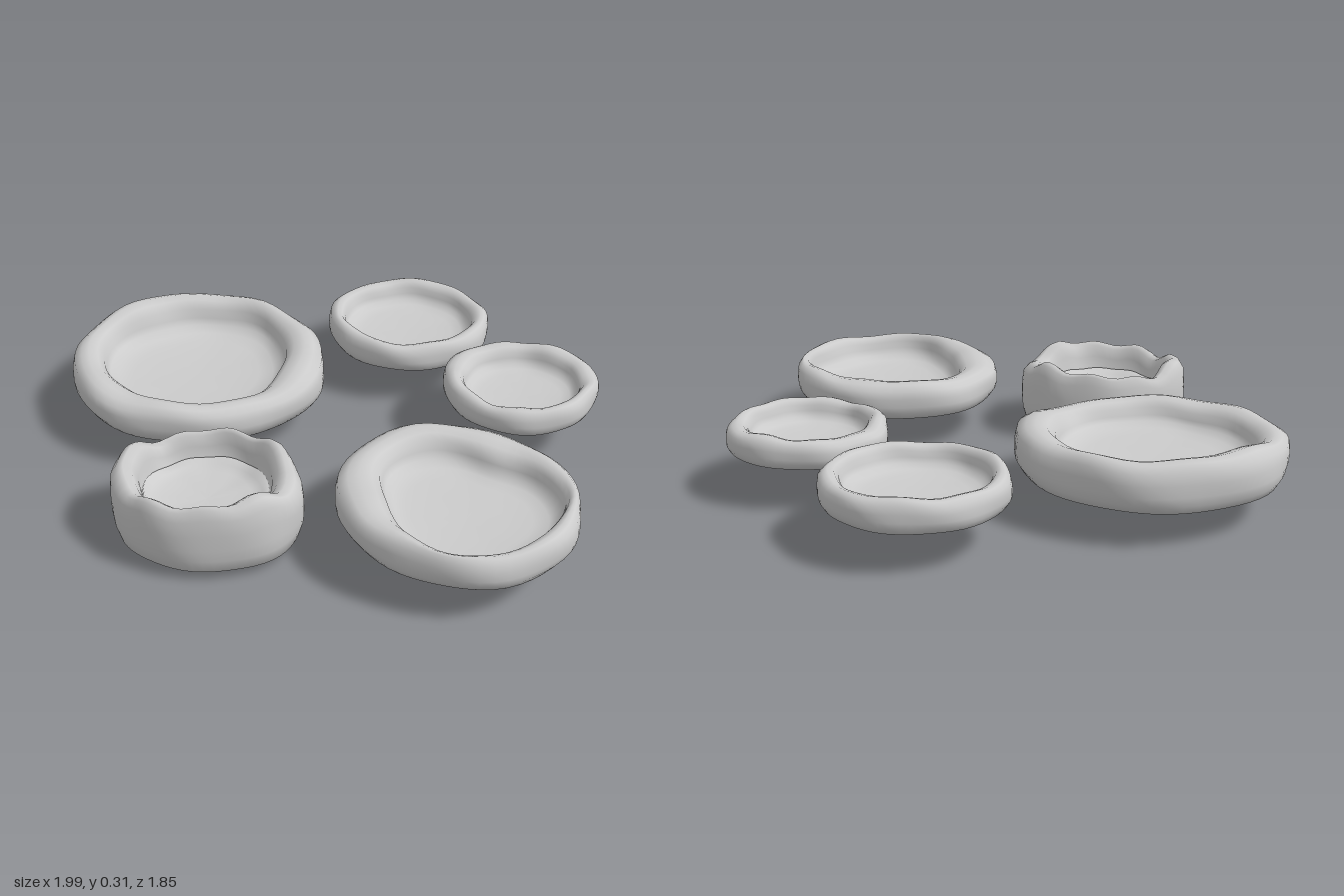
import * as THREE from 'three';

const SEG = 56;

// Cross-section from underside, up the wall and over the rim:
// [blend from outer (0) to inner (1) outline, scale about centre, height from base 0 to rim 1]
const WALL = [
  [0, 0, 0], [0, 0.5, 0.015], [0, 0.84, 0.06], [0, 0.95, 0.13], [0, 0.99, 0.3], [0, 1, 0.45], [0, 1, 0.65],
  [0, 0.985, 0.85], [0.2, 0.98, 0.96], [0.5, 1, 1], [0.78, 1, 0.95], [0.97, 1, 0.8], [1, 0.99, 0.62],
];
// Dished inside: [scale of the inner outline, height from floor 0 to rim 1]
const DISH = [[0.95, 0.28], [0.86, 0.13], [0.7, 0.06], [0.4, 0.015], [0, 0]];

// Rounded outline: an ellipse pulled out by lobes [amount, count, angle in degrees]
function outlinePoint({ c, r, lobes = [] }, a, scale) {
  let k = scale;
  for (const [amount, count, angle] of lobes) k += scale * amount * Math.cos(count * (a - THREE.MathUtils.degToRad(angle)));
  return new THREE.Vector3(c[0] + r[0] * k * Math.cos(a), 0, c[1] - r[1] * k * Math.sin(a));
}

function bowl({ name, outer, inner, base, top, floor, wave, slope = 0, seed }) {
  const positions = [], indices = [];
  const rows = [
    ...WALL.map(([blend, scale, h]) => ({ blend, scale, y: base + h * (top - base), lift: Math.max(0, h - 0.3) / 0.7 })),
    ...DISH.map(([scale, h]) => ({ blend: 1, scale, y: floor + h * (top - floor), lift: h })),
  ];
  rows.forEach(({ blend, scale, y, lift }, row) => {
    for (let j = 0; j < SEG; j++) {
      const a = (j / SEG) * Math.PI * 2;
      // Slight dents in the wall
      const dent = scale * (1 + 0.009 * Math.sin(7 * a + row * 0.5 + seed) + 0.006 * Math.sin(4 * a + seed * 3));
      const p = outlinePoint(outer, a, dent).lerp(outlinePoint(inner, a, dent), blend);
      // Hand-pinched rim: uneven height plus a slope rising to the back
      const ripple = Math.sin(3 * a + seed) * 0.5 + Math.sin(5 * a + seed * 2.3) * 0.35 + Math.sin(9 * a + seed * 4.1) * 0.3;
      positions.push(p.x, y + lift * (wave * ripple + slope * Math.sin(a)), p.z);

      if (row < rows.length - 1) {
        const k = (j + 1) % SEG, r = row * SEG, s = r + SEG;
        indices.push(r + j, r + k, s + j, r + k, s + k, s + j);
      }
    }
  });
  const geometry = new THREE.BufferGeometry();
  geometry.setAttribute('position', new THREE.Float32BufferAttribute(positions, 3));
  geometry.setIndex(indices);
  geometry.computeVertexNormals();
  const mesh = new THREE.Mesh(geometry, new THREE.MeshStandardMaterial({ color: 0xcccccc }));
  mesh.name = name;
  return mesh;
}

const BOWLS = [
  {
    name: 'largeBowl', base: 0.105, top: 0.283, floor: 0.16, wave: 0.012, slope: 0.022, seed: 1,
    outer: { c: [-0.515, -0.195], r: [0.48, 0.435], lobes: [[0.012, 3, 110]] },
    inner: { c: [-0.52, -0.2], r: [0.345, 0.33], lobes: [[0.03, 3, 180]] },
  },
  {
    name: 'frontBowl', base: 0.125, top: 0.275, floor: 0.16, wave: 0.008, seed: 2,
    outer: { c: [0.515, 0.54], r: [0.405, 0.385], lobes: [[0.04, 2, -45]] },
    inner: { c: [0.55, 0.57], r: [0.295, 0.295], lobes: [[0.07, 2, -45], [0.08, 3, 135]] },
  },
  {
    name: 'backBowl', base: 0.137, top: 0.262, floor: 0.17, wave: 0.008, seed: 3,
    outer: { c: [0.252, -0.625], r: [0.318, 0.295] },
    inner: { c: [0.25, -0.62], r: [0.25, 0.23] },
  },
  {
    name: 'sideBowl', base: 0.152, top: 0.267, floor: 0.18, wave: 0.01, seed: 4,
    outer: { c: [0.7, -0.188], r: [0.287, 0.265], lobes: [[0.03, 1, 50], [0.025, 3, -90]] },
    inner: { c: [0.71, -0.182], r: [0.212, 0.2] },
  },
  {
    name: 'deepBowl', base: 0, top: 0.285, floor: 0.15, wave: 0.03, seed: 5,
    outer: { c: [-0.325, 0.57], r: [0.325, 0.25], lobes: [[0.02, 1, -60]] },
    inner: { c: [-0.325, 0.565], r: [0.22, 0.205] },
  },
];

export function createModel() {
  const group = new THREE.Group();
  group.name = 'bowlSet';
  BOWLS.forEach((b) => group.add(bowl(b)));
  return group;
}
